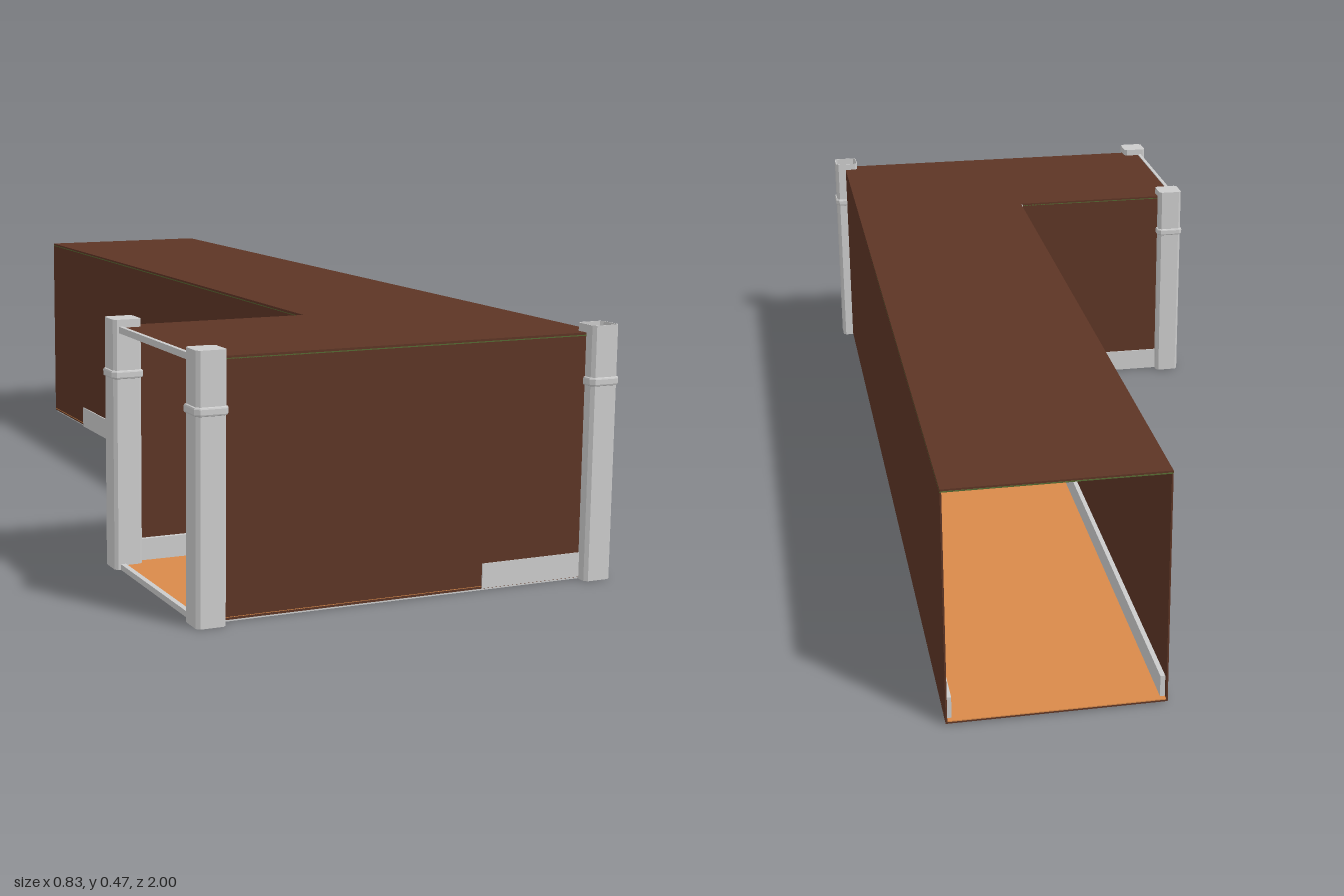
import * as THREE from 'three';

const WALL_TOP = 0.458;
const X0 = -0.4, XM = -0.013, X1 = 0.388; // open side, inner corner, outer wall
const Z0 = -1, ZM = 0.56, Z1 = 0.97;      // open end, inner corner, front wall

const mat = (color) => new THREE.MeshStandardMaterial({ color, flatShading: true, side: THREE.DoubleSide });

export function createModel() {
  const group = new THREE.Group();
  const grey = mat(0xcccccc), brown = mat(0x5d3525), orange = mat(0xd98a4a), green = mat(0x556932);

  const add = (name, geometry, material) => {
    const mesh = new THREE.Mesh(geometry, material);
    mesh.name = name;
    group.add(mesh);
    return mesh;
  };
  // box given by its two opposite corners
  const box = (name, material, [ax, ay, az], [bx, by, bz]) => {
    const mesh = add(name, new THREE.BoxGeometry(bx - ax, by - ay, bz - az), material);
    mesh.position.set((ax + bx) / 2, (ay + by) / 2, (az + bz) / 2);
    return mesh;
  };

  // L-shaped slab; shape y becomes -z
  const plan = new THREE.Shape([
    [X0, Z1], [X1, Z1], [X1, Z0], [XM, Z0], [XM, ZM], [X0, ZM],
  ].map(([x, z]) => new THREE.Vector2(x, -z)));
  const slab = (name, material, y, h) => {
    const geo = new THREE.ExtrudeGeometry(plan, { depth: h, bevelEnabled: false });
    geo.rotateX(-Math.PI / 2);
    add(name, geo, material).position.y = y;
  };
  slab('floorBase', brown, 0.003, 0.003);
  slab('floor', orange, 0.0062, 0.002);
  slab('ceiling', green, WALL_TOP - 0.004, 0.002);
  slab('roof', brown, WALL_TOP - 0.0015, 0.0035);

  // thin walls
  const t = 0.003;
  box('frontWall', brown, [X0, 0.003, Z1 - t], [X1, WALL_TOP, Z1]);
  box('outerWall', brown, [X1 - t, 0.003, Z0], [X1, WALL_TOP, Z1]);
  box('innerWall', brown, [XM, 0.003, Z0], [XM + t, WALL_TOP, ZM]);
  box('shortWall', brown, [X0, 0.003, ZM], [XM, WALL_TOP, ZM + t]);

  // skirting inside, with the stretches that stand proud outside
  const h = 0.05, d = 0.012;
  box('frontSkirting', grey, [X0, 0, Z1 - d], [X1 - 0.001, h, Z1 - 0.001]);
  box('outerSkirting', grey, [X1 - d, 0, Z0 + 0.01], [X1 - 0.001, h, Z1 - 0.001]);
  box('innerSkirting', grey, [XM + 0.001, 0, Z0 + 0.01], [XM + d, h, ZM + d]);
  box('shortSkirting', grey, [X0, 0, ZM - 0.003], [XM + d, h, ZM + d]);
  box('frontOuterSkirting', grey, [0.152, 0.004, Z1], [0.36, h, Z1 + 0.002]);
  box('innerOuterSkirting', grey, [XM - 0.003, 0, -0.76], [XM, h, ZM]);
  box('cornerTrim', grey, [XM - 0.004, 0, ZM - 0.004], [XM + 0.002, WALL_TOP, ZM + 0.002]);

  // rails framing the side opening
  box('sill', grey, [X0 - 0.004, 0, ZM], [X0 + 0.006, 0.011, Z1]);
  box('lintel', grey, [X0 - 0.004, WALL_TOP - 0.008, ZM], [X0 + 0.004, WALL_TOP + 0.004, Z1]);

  // square with cut corners
  const cutSquare = (r, c, Type = THREE.Shape) => new Type([
    [r, -r + c], [r, r - c], [r - c, r], [-r + c, r],
    [-r, r - c], [-r, -r + c], [-r + c, -r], [r - c, -r],
  ].map(([x, y]) => new THREE.Vector2(x, y)));

  // corner posts with a collar; the one at the outer corner is hollow
  const post = (name, x, z, hollow) => {
    const g = new THREE.Group();
    g.name = name;
    const part = (partName, r, y, height, bevel) => {
      const shape = cutSquare(r, 0.006);
      if (hollow) shape.holes.push(cutSquare(0.0255, 0.005, THREE.Path));
      const geo = new THREE.ExtrudeGeometry(shape, {
        depth: height - 2 * bevel, bevelEnabled: bevel > 0, bevelSize: bevel,
        bevelThickness: bevel, bevelSegments: 2,
      });
      geo.rotateX(-Math.PI / 2);
      const mesh = new THREE.Mesh(geo, grey);
      mesh.name = partName;
      mesh.position.y = y + bevel;
      g.add(mesh);
    };
    part('shaft', 0.0275, 0, 0.475, 0);
    part('collar', 0.0275, 0.364, 0.016, 0.0035);
    g.position.set(x, 0, z);
    group.add(g);
  };
  post('frontOpeningPost', -0.387, 0.967, false);
  post('backOpeningPost', -0.387, 0.565, false);
  post('outerCornerPost', 0.385, 0.967, true);

  return group;
}
